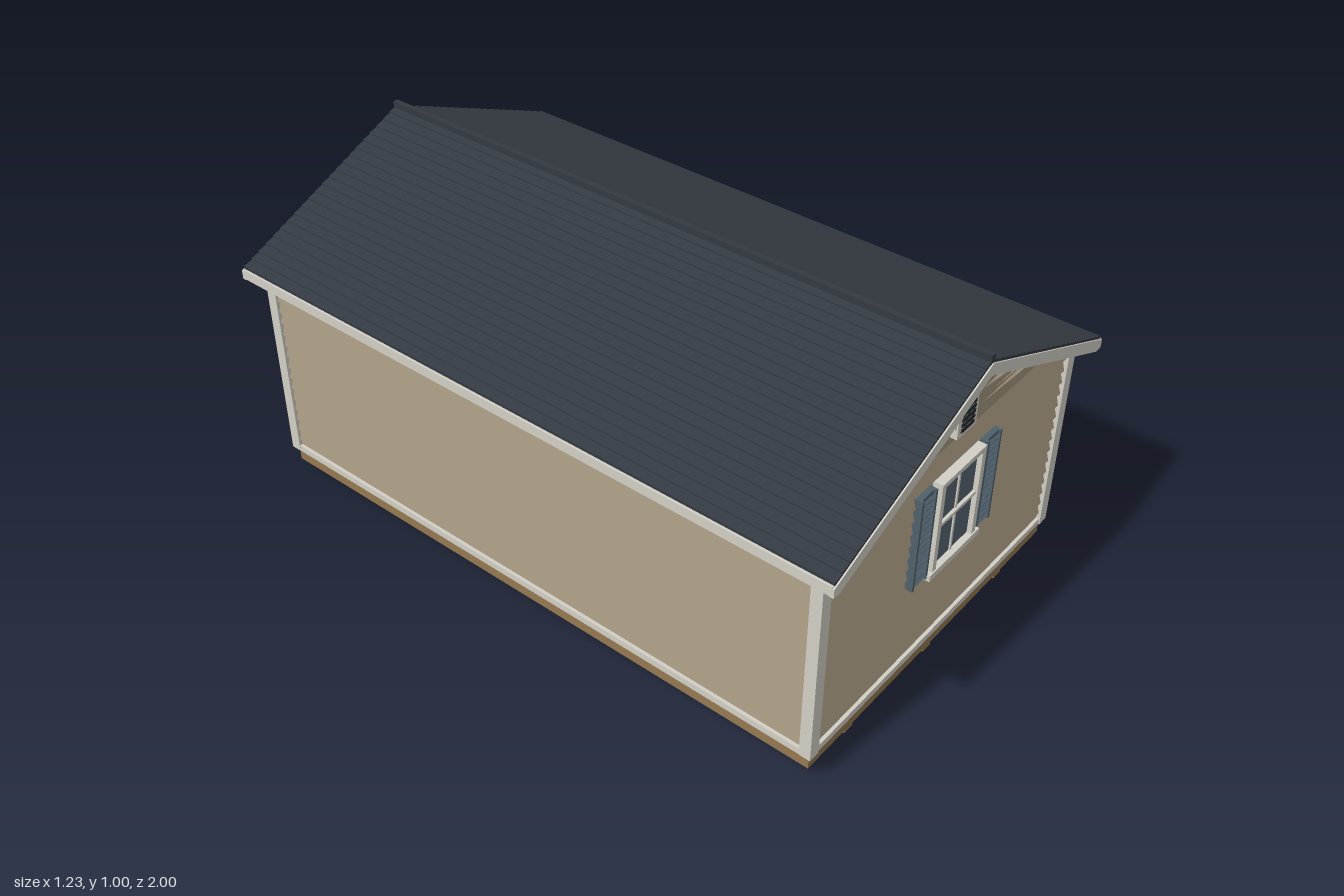
import * as THREE from 'three';

const mat = (name, color) => {
  const m = new THREE.MeshStandardMaterial({ color });
  m.name = name;
  return m;
};

export function createModel() {
  const siding = mat('siding', 0xa4967f);
  const trim = mat('trim', 0xd2cfc5);
  const shingle = mat('shingle', 0x343a42);
  const shutterBlue = mat('shutterBlue', 0x4f606b);
  const glass = mat('glass', 0x566670);
  const wood = mat('wood', 0x957850);
  const block = mat('block', 0x9c9382);
  const iron = mat('iron', 0x23272c);
  const gableSkin = mat('gableSkin', 0xa4967f);
  gableSkin.side = THREE.DoubleSide;

  const model = new THREE.Group();
  model.name = 'shed';

  const group = (name, parent = model) => {
    const g = new THREE.Group();
    g.name = name;
    parent.add(g);
    return g;
  };
  const add = (parent, name, geo, m, x = 0, y = 0, z = 0) => {
    const mesh = new THREE.Mesh(geo, m);
    mesh.name = name;
    mesh.position.set(x, y, z);
    parent.add(mesh);
    return mesh;
  };
  // box given by its min and max on each axis
  const box = (parent, name, m, x0, x1, y0, y1, z0, z1) =>
    add(parent, name, new THREE.BoxGeometry(x1 - x0, y1 - y0, z1 - z0), m,
      (x0 + x1) / 2, (y0 + y1) / 2, (z0 + z1) / 2);
  const shapeOf = pts => new THREE.Shape(pts.map(p => new THREE.Vector2(p[0], p[1])));
  const extrude = (shape, depth) =>
    new THREE.ExtrudeGeometry(shape, { depth, bevelEnabled: false, curveSegments: 10 });
  const mirrored = pts => [...pts, ...pts.slice().reverse().filter(p => p[0] !== 0).map(p => [-p[0], p[1]])];

  // base: pads, skids and floor frame
  const base = group('base');
  box(base, 'floorFrame', wood, -0.562, 0.562, 0.04, 0.088, -0.937, 0.937);
  for (const x of [-0.367, 0, 0.367]) {
    box(base, 'skid', wood, x - 0.018, x + 0.018, 0.004, 0.042, -0.925, 0.925);
    for (const z of [-0.84, 0, 0.84])
      box(base, 'pad', block, x - 0.045, x + 0.045, 0, 0.027, z - 0.052, z + 0.052);
  }

  // each wall is built facing +x and then turned
  const LAPS = 17, Y0 = 0.088, Y1 = 0.738;
  const wall = (name, dist, width, angle) => {
    const g = group(name);
    g.rotation.y = angle;
    const pts = [[-0.012, Y1], [-0.012, Y0]];
    const h = (Y1 - Y0) / LAPS;
    for (let i = 0; i < LAPS; i++)
      pts.push([0.011, Y0 + i * h], [0, Y0 + (i + 1) * h]);
    add(g, 'lapSiding', extrude(shapeOf(pts), width), siding, dist, 0, -width / 2);
    box(g, 'bottomTrim', trim, dist, dist + 0.015, 0.088, 0.108, -width / 2, width / 2);
    return g;
  };
  const right = wall('rightWall', 0.56, 1.87, 0);
  const left = wall('leftWall', 0.56, 1.87, Math.PI);
  const front = wall('frontWall', 0.932, 1.12, -Math.PI / 2);
  const back = wall('backWall', 0.932, 1.12, Math.PI / 2);
  for (const g of [right, left])
    box(g, 'topTrim', trim, 0.56, 0.575, 0.69, 0.728, -0.93, 0.93);

  for (const sx of [-1, 1]) for (const sz of [-1, 1])
    box(model, 'cornerTrim', trim, Math.min(sx * 0.54, sx * 0.576), Math.max(sx * 0.54, sx * 0.576),
      0.088, 0.722, Math.min(sz * 0.916, sz * 0.95), Math.max(sz * 0.916, sz * 0.95));

  // gable boards with ragged ends below the rakes
  const ragged = mirrored([[0, 0.972], [0.16, 0.898], [0.17, 0.867], [0.085, 0.866], [0.17, 0.86],
    [0.09, 0.836], [0.23, 0.826], [0.1, 0.817], [0.29, 0.79], [0.15, 0.786], [0.32, 0.779],
    [0.1, 0.772], [0.55, 0.745], [0.55, 0.73]]);
  for (const s of [-1, 1])
    add(model, 'gableSiding', new THREE.ShapeGeometry(shapeOf(ragged)), gableSkin, 0, 0, s * 0.936);

  // windows with sill, muntins and louvred shutters
  const addWindow = (parent, d, z) => {
    const g = group('window', parent);
    g.position.set(d, 0, z);
    box(g, 'glass', glass, 0.008, 0.016, 0.37, 0.645, -0.088, 0.088);
    for (const s of [-1, 1])
      box(g, 'frameSide', trim, 0, 0.03, 0.365, 0.655, s * 0.0935 - 0.0085, s * 0.0935 + 0.0085);
    box(g, 'frameHead', trim, 0, 0.03, 0.64, 0.655, -0.085, 0.085);
    box(g, 'sill', trim, 0, 0.034, 0.355, 0.374, -0.118, 0.118);
    box(g, 'meetingRail', trim, 0.01, 0.025, 0.504, 0.514, -0.085, 0.085);
    box(g, 'muntin', trim, 0.01, 0.02, 0.374, 0.64, -0.004, 0.004);
    for (const s of [-1, 1]) {
      const c = s * 0.15;
      box(g, 'shutterPanel', shutterBlue, 0, 0.019, 0.363, 0.652, c - 0.034, c + 0.034);
      for (const e of [-1, 1])
        box(g, 'shutterStile', shutterBlue, 0, 0.025, 0.363, 0.652, c + e * 0.03 - 0.004, c + e * 0.03 + 0.004);
      for (let i = 0; i < 14; i++) {
        const slat = box(g, 'shutterSlat', shutterBlue, 0.014, 0.026, 0, 0.004, c - 0.026, c + 0.026);
        slat.position.y = 0.378 + i * 0.02;
        slat.rotation.z = -0.6;
      }
    }
  };
  addWindow(front, 0.935, 0);
  addWindow(right, 0.563, 0.622);
  addWindow(right, 0.563, -0.622);

  // double door with boards, rails, hinges and handle
  const doors = group('doubleDoor', right);
  box(doors, 'backing', siding, 0.56, 0.573, 0.09, 0.685, -0.29, 0.29);
  for (const s of [-1, 1]) {
    const leaf = group('doorLeaf', doors);
    const zBox = (n, m, x0, x1, y0, y1, a, b) =>
      box(leaf, n, m, x0, x1, y0, y1, Math.min(s * a, s * b), Math.max(s * a, s * b));
    for (let i = 0; i < 4; i++)
      zBox('board', siding, 0.57, 0.579, 0.1, 0.68, 0.025 + i * 0.058, 0.077 + i * 0.058);
    zBox('outerStile', trim, 0.56, 0.59, 0.088, 0.685, 0.258, 0.296);
    zBox('innerStile', trim, 0.57, 0.59, 0.088, 0.685, 0.002, 0.027);
    for (const [a, b] of [[0.09, 0.108], [0.378, 0.394], [0.668, 0.685]])
      zBox('rail', trim, 0.57, 0.589, a, b, 0.027, 0.258);
    for (const y of [0.102, 0.385, 0.667]) {
      zBox('hingePlate', iron, 0.588, 0.597, y - 0.015, y + 0.015, 0.278, 0.294);
      zBox('hingeStrap', iron, 0.588, 0.595, y - 0.006, y + 0.006, 0.255, 0.28);
    }
  }
  box(doors, 'handlePlate', iron, 0.589, 0.595, 0.37, 0.397, 0.004, 0.018);
  box(doors, 'handle', iron, 0.594, 0.607, 0.379, 0.388, 0.0, 0.018);

  // arched gable vent
  const arch = (w, y0, y1) => {
    const s = new THREE.Shape();
    s.moveTo(-w, y0);
    s.lineTo(w, y0);
    s.lineTo(w, y1);
    s.absarc(0, y1, w, 0, Math.PI, false);
    return s;
  };
  const vent = group('gableVent');
  add(vent, 'ventFrame', extrude(arch(0.044, 0.752, 0.818), 0.02), trim, 0, 0, 0.934);
  for (const s of [-1, 1])
    box(vent, 'ventEar', trim, s * 0.044 - 0.005, s * 0.044 + 0.005, 0.78, 0.83, 0.935, 0.95);
  for (let i = 0; i < 5; i++)
    box(vent, 'ventSlot', iron, -0.029, 0.029, 0.765 + i * 0.016, 0.775 + i * 0.016, 0.95, 0.957);

  // roof: stepped shingle courses over a pale deck
  const roof = group('roof');
  const line = x => 0.981 - 0.43 * x;
  const COURSES = 22, W = 0.606;
  const top = [[0, line(0)]];
  for (let i = 0; i < COURSES; i++) {
    const x1 = W * (i + 1) / COURSES;
    top.push([x1, line(x1) + 0.004], [x1, line(x1) - (i === COURSES - 1 ? 0.006 : 0)]);
  }
  const under = [[W, line(W) - 0.006], [0, line(0) - 0.006]];
  const slope = side => shapeOf([...top, under[1]].map(p => [p[0] * side, p[1]]));
  const deck = side => shapeOf([under[1], under[0], [W, line(W) - 0.018], [0, line(0) - 0.018]]
    .map(p => [p[0] * side, p[1]]));
  for (const s of [-1, 1]) {
    add(roof, 'shingles', extrude(slope(s), 1.992), shingle, 0, 0, -0.996);
    add(roof, 'deck', extrude(deck(s), 1.98), trim, 0, 0, -0.99);
    box(roof, 'fascia', trim, s * 0.607 - 0.006, s * 0.607 + 0.006, 0.687, 0.716, -0.995, 0.995);
  }
  box(roof, 'ridgeCap', shingle, -0.008, 0.008, 0.968, 0.998, -0.997, 0.997);

  // rake boards at both gables
  const rake = shapeOf(mirrored([[0, 0.975], [0.613, 0.712], [0.613, 0.685], [0.588, 0.685], [0, 0.94]]));
  for (const z of [-1, 0.986])
    add(roof, 'rakeBoard', extrude(rake, 0.014), trim, 0, 0, z);

  return model;
}
